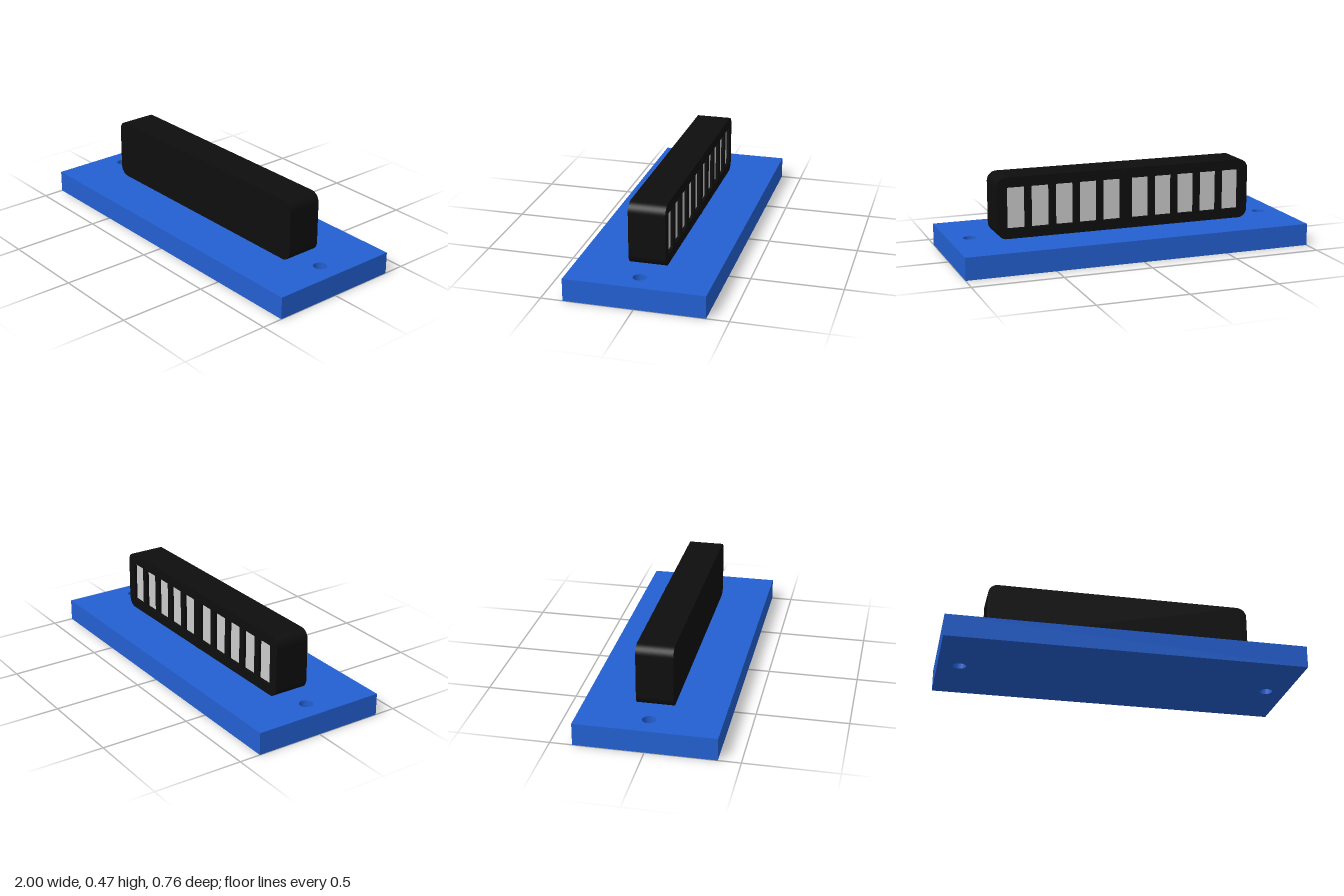
import * as THREE from 'three';

const BLUE = new THREE.MeshStandardMaterial({ color: 0x2360d2 });
const BLACK = new THREE.MeshStandardMaterial({ color: 0x0e0e0e });
const GREY = new THREE.MeshStandardMaterial({ color: 0xcccccc });

const PITCH = 0.139, FIRST = 0.085;       // slot spacing, five each side of the middle
const SLOT_W = 0.1, SLOT_H = 0.23;
const BODY_Y = 0.297, BODY_W = 1.5, BODY_H = 0.345, RADIUS = 0.055;
const BACK = -0.1, RECESS = 0.02;

const slotXs = [];
for (const side of [-1, 1])
  for (let i = 0; i < 5; i++) slotXs.push(side * (FIRST + i * PITCH));

function add(group, name, geometry, material, x = 0, y = 0, z = 0) {
  const mesh = new THREE.Mesh(geometry, material);
  mesh.name = name;
  mesh.position.set(x, y, z);
  group.add(mesh);
  return mesh;
}

function rectangle(target, w, h, cx = 0) {
  target.moveTo(cx - w / 2, -h / 2);
  target.lineTo(cx + w / 2, -h / 2);
  target.lineTo(cx + w / 2, h / 2);
  target.lineTo(cx - w / 2, h / 2);
  target.closePath();
  return target;
}

function roundedRectangle(w, h, r) {
  const s = new THREE.Shape(), x = w / 2 - r, y = h / 2 - r;
  s.absarc(x, -y, r, -Math.PI / 2, 0);
  s.absarc(x, y, r, 0, Math.PI / 2);
  s.absarc(-x, y, r, Math.PI / 2, Math.PI);
  s.absarc(-x, -y, r, Math.PI, Math.PI * 1.5);
  s.closePath();
  return s;
}

const extrude = (shape, depth) =>
  new THREE.ExtrudeGeometry(shape, { depth, bevelEnabled: false, curveSegments: 10 });

export function createModel() {
  const model = new THREE.Group();
  model.name = 'connectorBlock';

  // Base plate with two mounting holes
  const plate = rectangle(new THREE.Shape(), 2, 0.76);
  for (const x of [-0.88, 0.88])
    plate.holes.push(new THREE.Path().absarc(x, 0, 0.037, 0, Math.PI * 2, true));
  const plateGeometry = extrude(plate, 0.125);
  plateGeometry.rotateX(-Math.PI / 2);
  add(model, 'basePlate', plateGeometry, BLUE);

  // Solid housing in front of the slots
  const core = roundedRectangle(BODY_W, BODY_H, RADIUS);
  add(model, 'housing', extrude(core, 0.2 - RECESS), BLACK, 0, BODY_Y, BACK + RECESS);

  // Slotted rear face of the housing
  const frame = roundedRectangle(BODY_W, BODY_H, RADIUS);
  for (const x of slotXs)
    frame.holes.push(rectangle(new THREE.Path(), SLOT_W, SLOT_H, x));
  add(model, 'slottedFrame', extrude(frame, RECESS), BLACK, 0, BODY_Y, BACK);

  // Shallow rib between the two banks of slots
  add(model, 'centreRib', new THREE.BoxGeometry(0.03, BODY_H - 0.004, 0.01), BLACK, 0, BODY_Y, BACK + 0.002);

  // Contact pads at the bottom of the slots
  const pads = new THREE.Group();
  pads.name = 'contactPads';
  const padGeometry = new THREE.BoxGeometry(SLOT_W, SLOT_H, 0.008);
  for (const x of slotXs) add(pads, 'contactPad', padGeometry, GREY, x, BODY_Y, BACK + RECESS);
  model.add(pads);

  return model;
}
